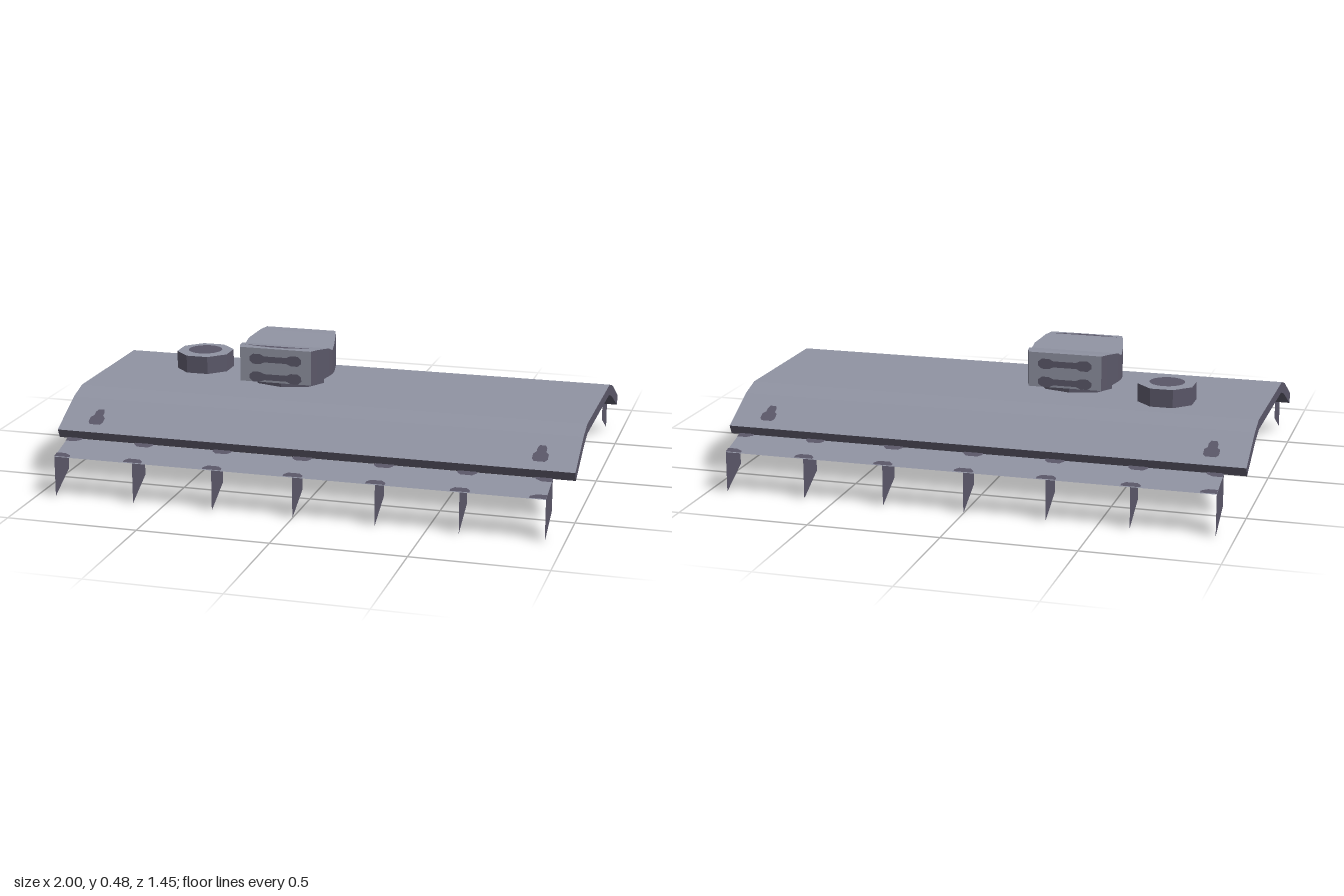
import * as THREE from 'three';

const light = new THREE.MeshStandardMaterial({ color: 0x8f92a1, side: THREE.DoubleSide });
light.name = 'light armour';
const dark = new THREE.MeshStandardMaterial({ color: 0x5a5768, side: THREE.DoubleSide });
dark.name = 'dark edge';

const V = (x, y, z) => new THREE.Vector3(x, y, z);

function add(parent, name, geometry, material) {
  const mesh = new THREE.Mesh(geometry, material);
  mesh.name = name;
  parent.add(mesh);
  return mesh;
}

// Flat-shaded band of quads between two equally long rows of points
function strip(a, b) {
  const pts = [];
  for (let i = 0; i < a.length - 1; i++) {
    pts.push(a[i], b[i], b[i + 1], a[i], b[i + 1], a[i + 1]);
  }
  const g = new THREE.BufferGeometry().setFromPoints(pts);
  g.computeVertexNormals();
  return g;
}

// Outline in x,z laid just above a surface of height(z)
function drape(outline, height) {
  const g = new THREE.ShapeGeometry(new THREE.Shape(outline.map(([x, z]) => new THREE.Vector2(x, z))));
  const p = g.attributes.position;
  for (let i = 0; i < p.count; i++) {
    const z = p.getY(i);
    p.setXYZ(i, p.getX(i), height(z) + 0.003, z);
  }
  g.computeVertexNormals();
  return g;
}

function buildRoof(root) {
  const roof = new THREE.Group();
  roof.name = 'roof';
  root.add(roof);
  const mirror = half => [...half, ...half.slice().reverse().map(([z, y]) => [-z, y])];
  const top = mirror([[0.527, 0.198], [0.36, 0.285], [0.278, 0.31]]);
  const bottom = mirror([[0.51, 0.163], [0.345, 0.245], [0.268, 0.27]]);
  const at = (profile, x) => profile.map(([z, y]) => V(x, y, z));
  const across = profile => strip(at(profile, -1), at(profile, 1));
  add(roof, 'roofTop', across(top), light);
  add(roof, 'roofUnderside', across(bottom.slice().reverse()), dark);
  add(roof, 'roofFrontEdge', across([bottom[0], top[0]]), dark);
  add(roof, 'roofBackEdge', across([top[5], bottom[5]]), dark);
  add(roof, 'roofLeftEnd', strip(at(top, 1), at(bottom, 1)), dark);
  add(roof, 'roofRightEnd', strip(at(bottom, -1), at(top, -1)), dark);

  // Keyhole marks near the four corners
  const slope = z => 0.285 - (Math.abs(z) - 0.36) * 0.521;
  const half = [[0.011, 0.418], [0.018, 0.432], [0.018, 0.448], [0.029, 0.458], [0.029, 0.482], [0.02, 0.492]];
  const key = [...half, ...half.slice().reverse().map(([x, z]) => [-x, z])];
  for (const sx of [-1, 1]) for (const sz of [-1, 1]) {
    add(roof, 'keyholeMark', drape(key.map(([x, z]) => [x + sx * 0.862, z * sz]), slope), dark);
  }
}

// Sloping side shelf carried by seven thin fins
function buildShelf(root, name, turn) {
  const shelf = new THREE.Group();
  shelf.name = name;
  shelf.rotation.y = turn;
  root.add(shelf);
  const zi = 0.592, zo = 0.725;
  const height = z => 0.19 - (z - zi) * 0.26;
  const row = z => [V(-0.93, height(z), z), V(0.93, height(z), z)];
  add(shelf, 'shelfPlate', strip(row(zo), row(zi)), light);
  for (let i = -3; i <= 3; i++) {
    const x = i * 0.31;
    add(shelf, 'fin', strip([V(x, 0, zo), V(x, 0.07, zi)], [V(x, height(zo), zo), V(x, height(zi), zi)]), dark);
    // Scalloped marks on both edges, clipped at the plate ends
    const w = Math.abs(i) === 3 ? 0.06 : 0.036;
    const lo = i === -3 ? 0 : -w, hi = i === 3 ? 0 : w;
    for (const [z, d] of [[zi, 1], [zo, -1]]) {
      const outline = [[x + lo, z]];
      for (const [f, depth] of [[1, 0.012], [0.6, 0.025]]) outline.push([x + lo * f, z + d * depth]);
      for (const [f, depth] of [[0.6, 0.025], [1, 0.012]]) outline.push([x + hi * f, z + d * depth]);
      outline.push([x + hi, z]);
      add(shelf, 'edgeMark', drape(outline, height), dark);
    }
  }
}

// Octagonal hatch with a round inset
function buildHatch(root) {
  const hatch = new THREE.Group();
  hatch.name = 'hatch';
  hatch.position.set(-0.62, 0.31, -0.107);
  root.add(hatch);
  const r = 0.105 / Math.cos(Math.PI / 8);
  const body = new THREE.CylinderGeometry(r, r, 0.07, 8).toNonIndexed();
  body.rotateY(Math.PI / 8);
  body.translate(0, 0.035, 0);
  body.computeVertexNormals();
  add(hatch, 'hatchBody', body, [dark, light, dark]);
  const disc = new THREE.CircleGeometry(0.068, 20);
  disc.rotateX(-Math.PI / 2);
  disc.translate(0, 0.073, 0);
  add(hatch, 'hatchInset', disc, dark);
}

// Box with a valley across its top and sides tapering to front and back
function buildVent(root) {
  const vent = new THREE.Group();
  vent.name = 'vent';
  vent.position.x = -0.235;
  root.add(vent);
  const base = new THREE.CylinderGeometry(0.145, 0.145, 0.045, 8).toNonIndexed();
  base.rotateY(Math.PI / 2);
  base.scale(1, 1, 0.71);
  base.translate(0, 0.3325, 0);
  base.computeVertexNormals();
  add(vent, 'ventPedestal', base, dark);

  // Stations: z, half width, top height, lower edge height
  const half = [[0.172, 0.143, 0.48, 0.345], [0.13, 0.157, 0.477, 0.347], [0.04, 0.177, 0.463, 0.35]];
  const stations = [...half, [0, 0.181, 0.446, 0.35], ...half.slice().reverse().map(([z, ...r]) => [-z, ...r])];
  const rowAt = (s, isTop) => stations.map(([z, w, t, b]) => V(s * w, isTop ? t : b, z));
  const tl = rowAt(1, true), tr = rowAt(-1, true), bl = rowAt(1, false), br = rowAt(-1, false);
  add(vent, 'ventTop', strip(tr, tl), light);
  add(vent, 'ventBottom', strip(bl, br), dark);
  add(vent, 'ventLeftSide', strip(tl, bl), dark);
  add(vent, 'ventRightSide', strip(br, tr), dark);
  add(vent, 'ventFront', strip([br[0], tr[0]], [bl[0], tl[0]]), light);
  add(vent, 'ventBack', strip([bl[6], tl[6]], [br[6], tr[6]]), light);

  // Dumbbell slots on front and back
  const slot = new THREE.Shape([
    [-0.105, -0.008], [-0.09, -0.02], [-0.062, -0.02], [-0.045, -0.012], [0.045, -0.012], [0.062, -0.02],
    [0.09, -0.02], [0.105, -0.008], [0.105, 0.008], [0.09, 0.02], [0.062, 0.02], [0.045, 0.012],
    [-0.045, 0.012], [-0.062, 0.02], [-0.09, 0.02], [-0.105, 0.008],
  ].map(([x, y]) => new THREE.Vector2(x, y)));
  for (const s of [1, -1]) for (const y of [0.437, 0.366]) {
    const mesh = add(vent, 'ventSlot', new THREE.ShapeGeometry(slot), dark);
    mesh.position.set(0, y, s * 0.175);
    mesh.rotation.y = s > 0 ? 0 : Math.PI;
  }
  // Slim lens-shaped slit along the top front edge
  const lens = [[-0.137, 0.136], [0.137, 0.136], [0.09, 0.146], [0.03, 0.155], [-0.03, 0.155], [-0.09, 0.146]];
  add(vent, 'ventSlit', drape(lens, () => 0.479), dark);
}

export function createModel() {
  const root = new THREE.Group();
  root.name = 'armouredRoof';
  buildRoof(root);
  buildShelf(root, 'frontShelf', 0);
  buildShelf(root, 'backShelf', Math.PI);
  buildHatch(root);
  buildVent(root);
  return root;
}
